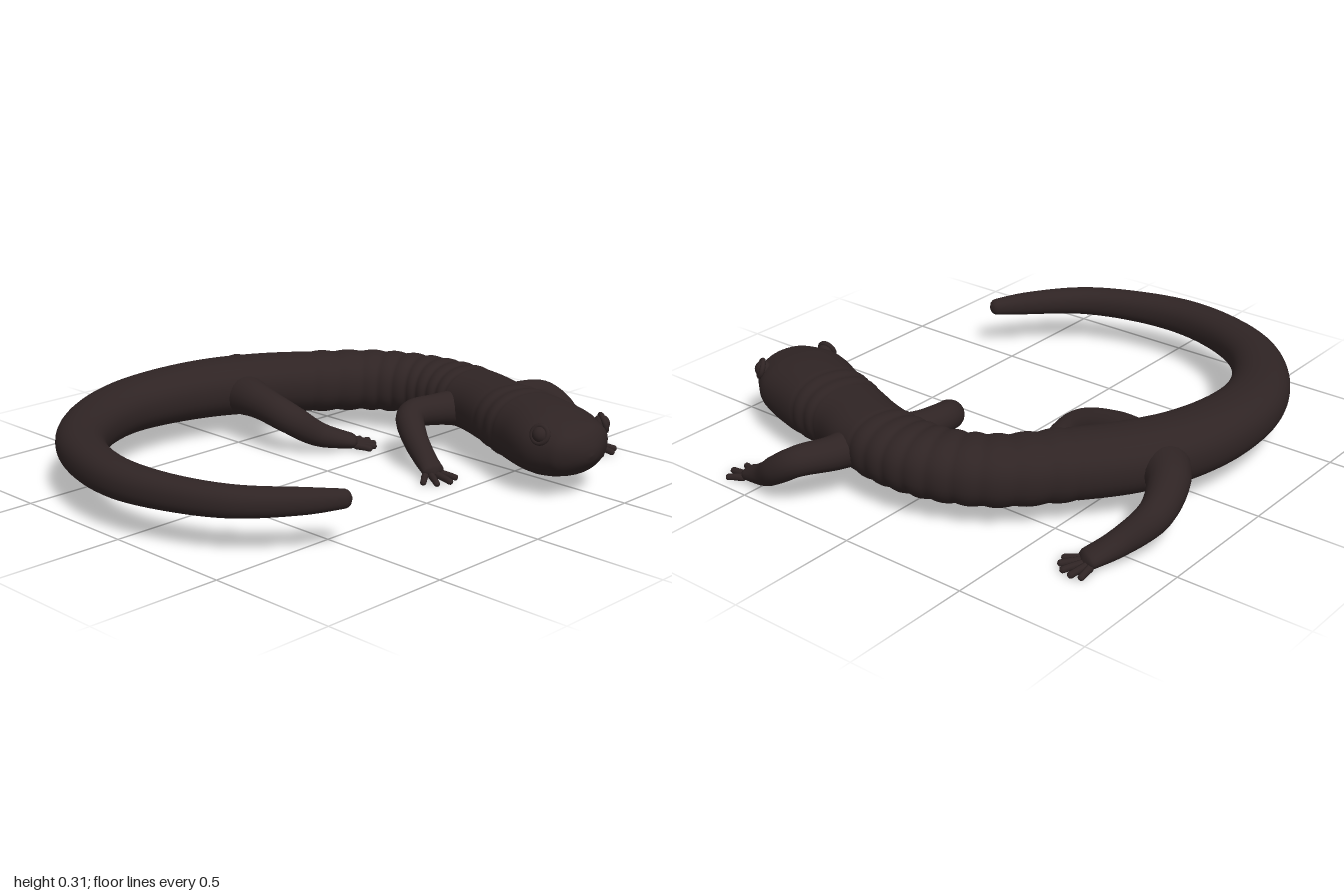
import * as THREE from 'three';

const skin = new THREE.MeshStandardMaterial({ color: 0x2f2424 });
skin.name = 'dark brown skin';

// Sweeps an oval section along stations [x, y, z, halfWidth, halfHeight], rounding both ends
function sweep(name, stations, rings, sides, ripple = () => 1, power = 1) {
  const path = new THREE.CatmullRomCurve3(stations.map(s => new THREE.Vector3(s[0], s[1], s[2])));
  const size = new THREE.CatmullRomCurve3(
    stations.map(s => new THREE.Vector3(s[3], s[4], 0)), false, 'catmullrom');
  const up = new THREE.Vector3(0, 1, 0);
  const first = path.getPoint(0), last = path.getPoint(1);
  const capRadius = s => Math.min(s[3], s[4]);
  const ease = (d, r) => Math.sqrt(1 - (1 - Math.min(1, d / r)) ** 2);
  const bend = v => Math.sign(v) * Math.abs(v) ** power;
  const pos = [], index = [];
  for (let i = 0; i <= rings; i++) {
    const t = i / rings;
    const p = path.getPoint(t), tangent = path.getTangent(t), r = size.getPoint(t);
    const side = new THREE.Vector3().crossVectors(up, tangent).normalize();
    const top = new THREE.Vector3().crossVectors(tangent, side);
    const k = ripple(t * (stations.length - 1))
      * ease(p.distanceTo(first), capRadius(stations[0]))
      * ease(p.distanceTo(last), capRadius(stations[stations.length - 1]));
    for (let j = 0; j < sides; j++) {
      const a = j / sides * Math.PI * 2;
      const v = p.clone()
        .addScaledVector(side, bend(Math.cos(a)) * r.x * k)
        .addScaledVector(top, bend(Math.sin(a)) * r.y * k);
      pos.push(v.x, v.y, v.z);
      if (i < rings) {
        const b = i * sides + j, c = i * sides + (j + 1) % sides;
        index.push(b, c, b + sides, c, c + sides, b + sides);
      }
    }
  }
  const geo = new THREE.BufferGeometry();
  geo.setAttribute('position', new THREE.Float32BufferAttribute(pos, 3));
  geo.setIndex(index);
  geo.computeVertexNormals();
  const mesh = new THREE.Mesh(geo, skin);
  mesh.name = name;
  return mesh;
}

// Leg with a flat foot and a fan of toes at the end of its path
function leg(name, stations, toes) {
  const group = new THREE.Group();
  group.name = name;
  const n = stations.length;
  const [x, , z] = stations[n - 1], [px, , pz] = stations[n - 2];
  const heading = Math.atan2(x - px, z - pz);
  group.add(sweep(name + 'Limb', stations, 48, 18));
  for (let i = 0; i < toes; i++) {
    const f = i / (toes - 1) * 2 - 1;
    const a = heading + f * 0.6, reach = 0.105 - 0.025 * f * f;
    const sx = x + Math.cos(heading) * f * 0.028 - Math.sin(heading) * 0.025;
    const sz = z - Math.sin(heading) * f * 0.028 - Math.cos(heading) * 0.025;
    const at = (d, y, w, h) => [sx + Math.sin(a) * d, y, sz + Math.cos(a) * d, w, h];
    group.add(sweep('toe', [
      at(0, 0.022, 0.015, 0.015), at(reach * 0.6, 0.018, 0.012, 0.013), at(reach, 0.013, 0.013, 0.012),
    ], 14, 8));
  }
  return group;
}

export function createModel() {
  const model = new THREE.Group();
  model.name = 'salamander';

  // Skin folds along the flank and at the throat
  const folds = u => {
    if (u > 12 && u < 15.6) return 0.975 + 0.055 * Math.abs(Math.sin((u - 12) / 0.4 * Math.PI));
    if (u > 17.1 && u < 17.7) return 0.98 + 0.05 * Math.abs(Math.sin((u - 17.1) / 0.3 * Math.PI));
    return 1;
  };

  // Tail, trunk and head in one curled sweep
  model.add(sweep('body', [
    [-0.51, 0.185, 0.625, 0.028, 0.03],
    [-0.64, 0.185, 0.535, 0.045, 0.045],
    [-0.81, 0.185, 0.37, 0.055, 0.055],
    [-0.90, 0.185, 0.16, 0.06, 0.062],
    [-0.93, 0.185, -0.07, 0.07, 0.07],
    [-0.88, 0.185, -0.30, 0.08, 0.077],
    [-0.775, 0.185, -0.485, 0.095, 0.083],
    [-0.60, 0.185, -0.63, 0.11, 0.09],
    [-0.40, 0.187, -0.71, 0.122, 0.098],
    [-0.18, 0.187, -0.722, 0.132, 0.107],
    [0.03, 0.187, -0.68, 0.14, 0.113],
    [0.21, 0.187, -0.59, 0.145, 0.116],
    [0.37, 0.187, -0.47, 0.14, 0.117],
    [0.565, 0.187, -0.30, 0.132, 0.117],
    [0.65, 0.187, -0.12, 0.134, 0.117],
    [0.665, 0.187, 0.05, 0.142, 0.117],
    [0.635, 0.187, 0.22, 0.145, 0.118],
    [0.58, 0.186, 0.37, 0.148, 0.119],
    [0.52, 0.177, 0.58, 0.168, 0.132],
    [0.465, 0.178, 0.73, 0.178, 0.122],
    [0.44, 0.18, 0.83, 0.142, 0.098],
    [0.43, 0.17, 0.898, 0.095, 0.065],
  ], 400, 36, folds, 0.9));

  // Front legs
  model.add(leg('frontLeftLeg', [
    [0.66, 0.17, 0.23, 0.08, 0.08], [0.80, 0.175, 0.24, 0.065, 0.062],
    [0.92, 0.175, 0.295, 0.057, 0.055], [0.948, 0.13, 0.37, 0.05, 0.052],
    [0.925, 0.065, 0.47, 0.043, 0.042], [0.90, 0.027, 0.58, 0.045, 0.024],
  ], 4));
  model.add(leg('frontRightLeg', [
    [0.60, 0.17, 0.19, 0.08, 0.08], [0.47, 0.175, 0.135, 0.062, 0.062],
    [0.335, 0.175, 0.12, 0.057, 0.055], [0.27, 0.13, 0.19, 0.05, 0.052],
    [0.235, 0.065, 0.28, 0.043, 0.042], [0.205, 0.027, 0.36, 0.045, 0.024],
  ], 4));

  // Hind legs
  model.add(leg('hindLeftLeg', [
    [0.13, 0.18, -0.68, 0.1, 0.09], [0.27, 0.18, -0.80, 0.075, 0.075],
    [0.41, 0.135, -0.842, 0.06, 0.063], [0.53, 0.07, -0.79, 0.05, 0.048],
    [0.65, 0.027, -0.725, 0.052, 0.026],
  ], 5));
  model.add(leg('hindRightLeg', [
    [0.10, 0.17, -0.60, 0.1, 0.09], [0.05, 0.175, -0.42, 0.066, 0.068],
    [0.055, 0.14, -0.26, 0.056, 0.06], [0.15, 0.07, -0.195, 0.05, 0.048],
    [0.285, 0.027, -0.12, 0.052, 0.026],
  ], 5));

  // Bulging eyes with ringed lids on both sides of the turned head
  const head = new THREE.Group();
  head.name = 'eyes';
  head.position.set(0.448, 0.245, 0.79);
  head.rotation.y = -0.27;
  for (const s of [1, -1]) {
    const eye = new THREE.Group();
    eye.name = s > 0 ? 'leftEye' : 'rightEye';
    const ball = new THREE.Mesh(new THREE.SphereGeometry(0.032, 20, 14), skin);
    ball.name = 'eyeball';
    const lid = new THREE.Mesh(new THREE.TorusGeometry(0.031, 0.01, 10, 28), skin);
    lid.name = 'eyelid';
    lid.position.z = 0.008;
    eye.add(ball, lid);
    eye.position.x = s * 0.135;
    eye.rotation.set(-0.3, s * 1.15, 0, 'YXZ');
    head.add(eye);
  }
  model.add(head);
  return model;
}
